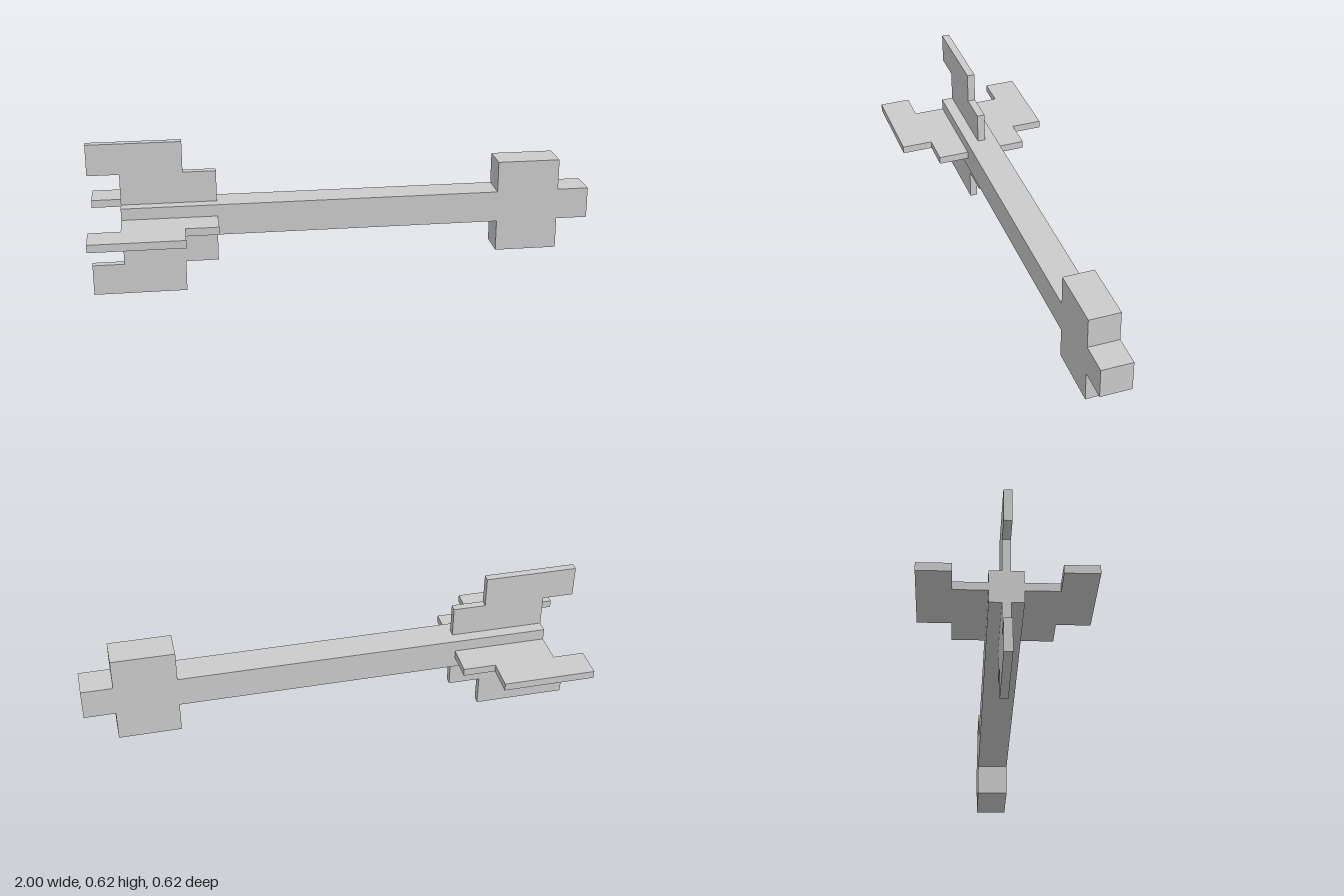
import * as THREE from 'three';

const U = 0.125;          // grid unit of the blocky design
const AXIS_Y = 2.5 * U;   // height of the shaft's centre line
const FIN_THICKNESS = U / 4;

export function createModel() {
  const arrow = new THREE.Group();
  arrow.name = 'arrow';
  const material = new THREE.MeshStandardMaterial({ color: 0xcccccc, flatShading: true });

  // Extrudes an outline given in grid units, centred in depth
  const plate = (name, outline, depth) => {
    const shape = new THREE.Shape(outline.map(([x, y]) => new THREE.Vector2(x * U, y * U)));
    const geometry = new THREE.ExtrudeGeometry(shape, { depth, bevelEnabled: false });
    geometry.translate(0, 0, -depth / 2);
    const mesh = new THREE.Mesh(geometry, material);
    mesh.name = name;
    mesh.position.y = AXIS_Y;
    arrow.add(mesh);
    return mesh;
  };

  // Square shaft widening into the cross-shaped head, with a stub tip
  const upper = [[8, 0.5], [7, 0.5], [7, 1.5], [5, 1.5], [5, 0.5], [-7, 0.5]];
  const lower = upper.map(([x, y]) => [x, -y]).reverse();
  plate('shaftAndHead', [...upper, ...lower], U);

  // Four stepped tail fins around the shaft
  const fin = [[-7, 0.5], [-4, 0.5], [-4, 1.5], [-5.04, 1.5],
    [-5.04, 2.5], [-8, 2.5], [-8, 1.5], [-7, 1.5]];
  ['topFin', 'frontFin', 'bottomFin', 'backFin'].forEach((name, i) => {
    plate(name, fin, FIN_THICKNESS).rotation.x = i * Math.PI / 2;
  });

  return arrow;
}
